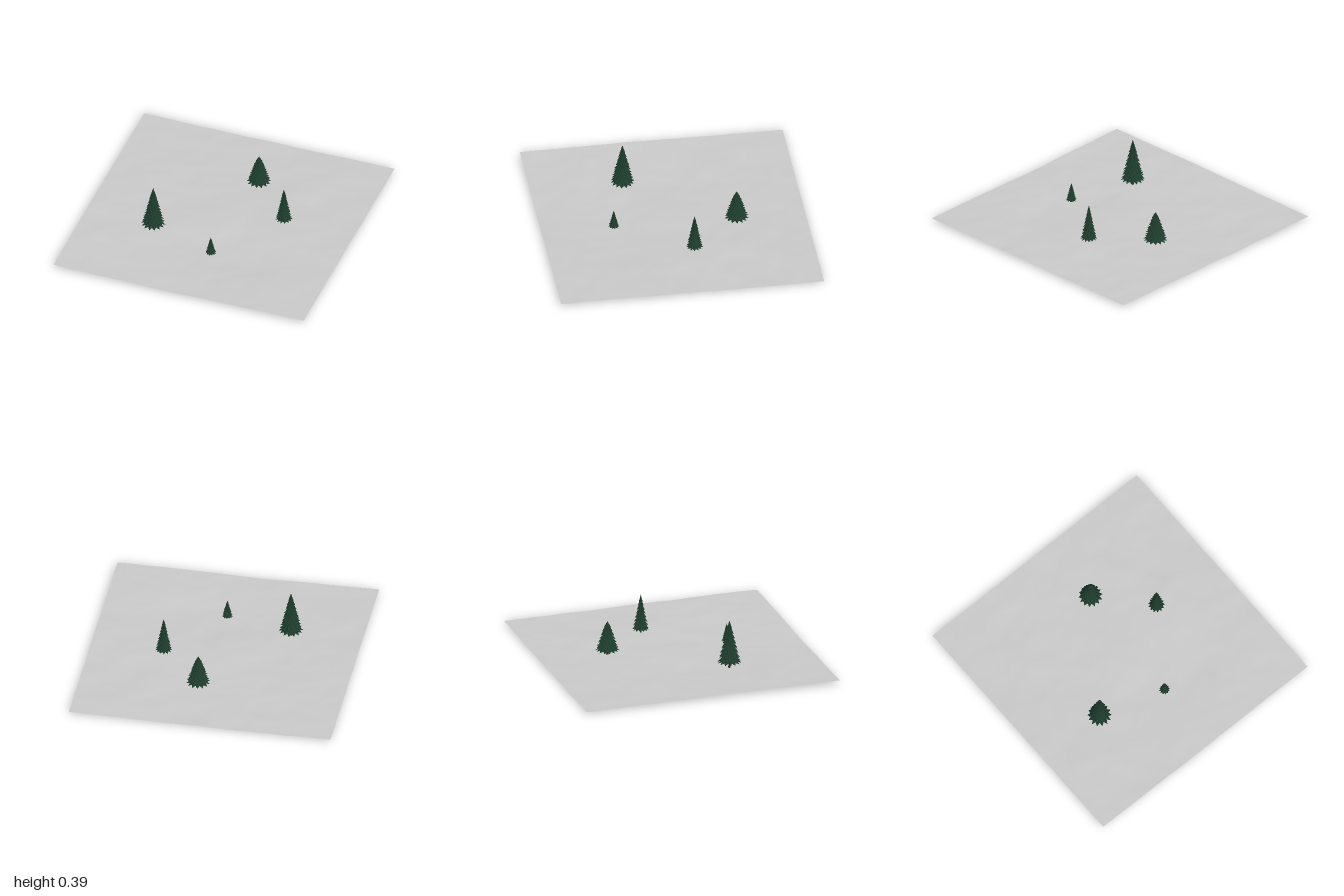
import * as THREE from 'three';

const snowMat = new THREE.MeshStandardMaterial({ color: 0xcccccc, side: THREE.DoubleSide });
snowMat.name = 'snow';
const needleMat = new THREE.MeshStandardMaterial({ color: 0x1c3b2b, side: THREE.DoubleSide, flatShading: true });
needleMat.name = 'needles';
const barkMat = new THREE.MeshStandardMaterial({ color: 0x35261c });
barkMat.name = 'bark';

// Repeatable value noise, from -1 to 1
function hash(i, j) {
  const s = Math.sin(i * 127.1 + j * 311.7 + 5.3) * 43758.5453;
  return (s - Math.floor(s)) * 2 - 1;
}
function noise(x, z) {
  const i = Math.floor(x), j = Math.floor(z);
  const u = THREE.MathUtils.smoothstep(x - i, 0, 1), v = THREE.MathUtils.smoothstep(z - j, 0, 1);
  const { lerp } = THREE.MathUtils;
  return lerp(lerp(hash(i, j), hash(i + 1, j), u), lerp(hash(i, j + 1), hash(i + 1, j + 1), u), v);
}

// Gentle drifts: higher at the front and the left, with small ripples on top
function groundHeight(x, z) {
  const drift = 0.026 + 0.004 * z - 0.002 * x + 0.004 * x * x - 0.004 * Math.cos((x + 0.2) * 3) * (0.5 + 0.5 * z);
  const ripple = 0.006 * noise(x * 2.3 + 7, z * 2.3 + 3) + 0.003 * noise(x * 5 + 1, z * 6 + 9)
    + 0.0012 * noise(x * 11 + z * 4, z * 13 - x * 4);
  return THREE.MathUtils.clamp(drift + ripple, 0.004, 0.046);
}

function makeGround() {
  const geo = new THREE.PlaneGeometry(2, 2, 80, 80).rotateX(-Math.PI / 2);
  const p = geo.attributes.position;
  for (let i = 0; i < p.count; i++) p.setY(i, groundHeight(p.getX(i), p.getZ(i)));
  geo.computeVertexNormals();
  const mesh = new THREE.Mesh(geo, snowMat);
  mesh.name = 'snowyGround';
  return mesh;
}

// One skirt of branches: an open cone whose rim alternates between tips and notches
function makeTier(radius, height, points) {
  const geo = new THREE.ConeGeometry(radius, height, points * 2, 1, true);
  geo.translate(0, height / 2, 0);
  const p = geo.attributes.position;
  const rim = points * 2 + 1;
  for (let k = 0; k < rim; k++) {
    if (k % 2 === 0) continue;
    const i = rim + k;
    p.setXYZ(i, p.getX(i) * 0.74, height * 0.12, p.getZ(i) * 0.74);
  }
  geo.computeVertexNormals();
  return geo;
}

function makeTree({ name, x, z, bottom, top, radius, tiers, points, curve }) {
  const tree = new THREE.Group();
  tree.name = name;
  tree.position.set(x, 0, z);
  const span = top - bottom;

  // Trunk, rooted just below the snow
  const foot = Math.max(0, groundHeight(x, z) - 0.008);
  const trunkHeight = bottom + span * 0.6 - foot;
  const trunk = new THREE.Mesh(
    new THREE.CylinderGeometry(radius * 0.03, radius * 0.11, trunkHeight, 8), barkMat);
  trunk.name = 'trunk';
  trunk.position.y = foot + trunkHeight / 2;
  tree.add(trunk);

  // Branch tiers shrink towards the tip, each turned a little
  for (let i = 0; i < tiers; i++) {
    const t = i / tiers * 0.9;
    const y = bottom + span * t;
    const height = Math.min(span / tiers * 2.1, top - y);
    const tier = new THREE.Mesh(
      makeTier(radius * Math.pow(1 - t, curve), i === tiers - 1 ? top - y : height, points), needleMat);
    tier.name = 'branchTier' + (i + 1);
    tier.position.y = y;
    tier.rotation.y = i * 0.73 + x;
    tree.add(tier);
  }
  return tree;
}

export function createModel() {
  const model = new THREE.Group();
  model.name = 'snowyClearing';
  model.add(makeGround());
  const trees = [
    { name: 'tallTree', x: -0.455, z: 0.305, bottom: 0.07, top: 0.405, radius: 0.092, tiers: 8, points: 14, curve: 0.95 },
    { name: 'wideTree', x: 0.108, z: -0.475, bottom: 0.055, top: 0.288, radius: 0.092, tiers: 7, points: 14, curve: 0.8 },
    { name: 'slenderTree', x: 0.442, z: -0.102, bottom: 0.055, top: 0.333, radius: 0.064, tiers: 8, points: 13, curve: 0.95 },
    { name: 'smallTree', x: 0.058, z: 0.452, bottom: 0.035, top: 0.176, radius: 0.041, tiers: 7, points: 12, curve: 0.95 },
  ];
  for (const spec of trees) model.add(makeTree(spec));
  return model;
}
